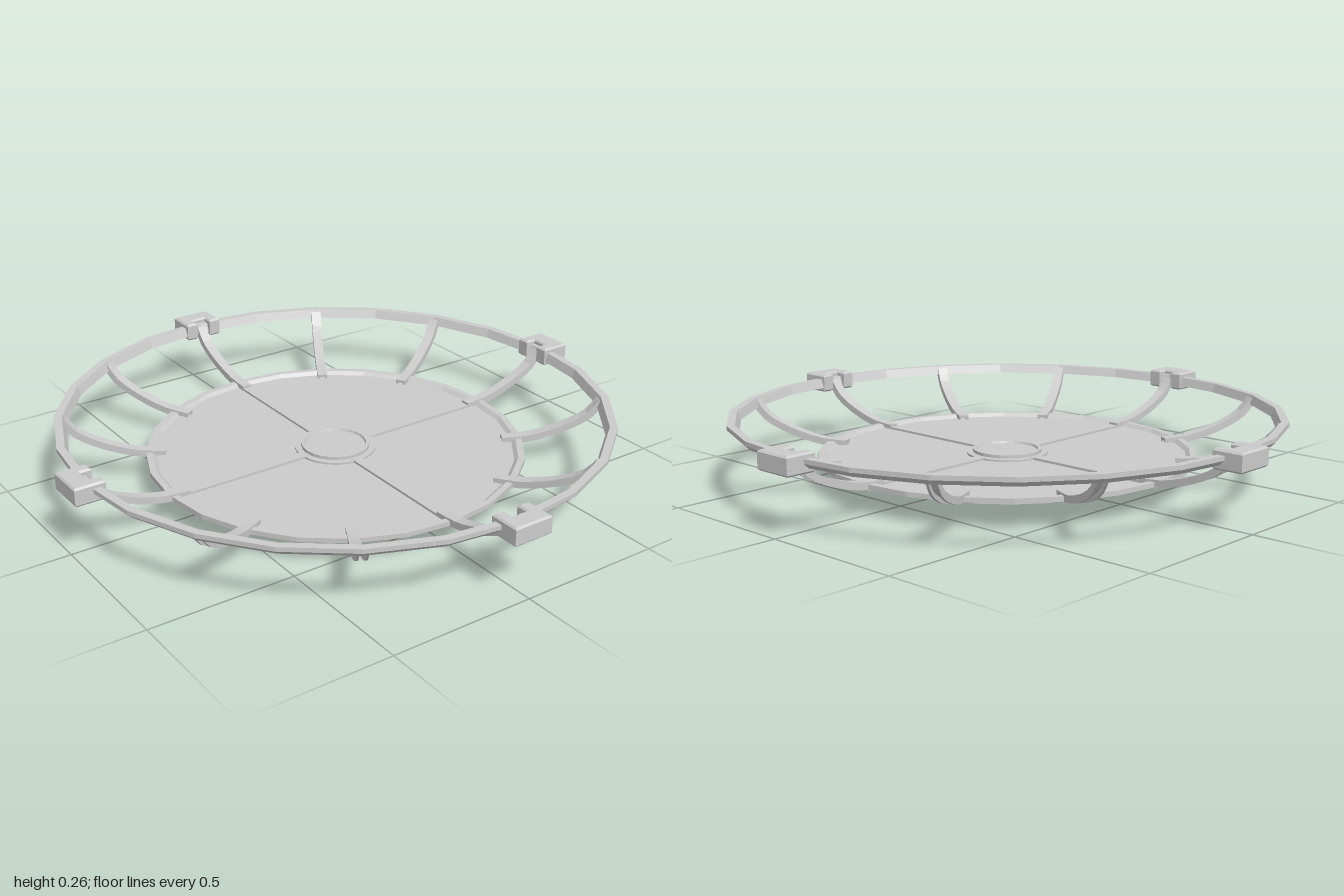
import * as THREE from 'three';

const grey = new THREE.MeshStandardMaterial({ color: 0xcccccc, flatShading: true });

function add(parent, geometry, name) {
  const mesh = new THREE.Mesh(geometry, grey);
  mesh.name = name;
  parent.add(mesh);
  return mesh;
}

// Turned part with 24 flat sides; the profile runs from the bottom up the outside
function turned(points) {
  return new THREE.LatheGeometry(points.map(([r, y]) => new THREE.Vector2(r, y)), 24);
}

function build(positions, indices) {
  let g = new THREE.BufferGeometry();
  g.setAttribute('position', new THREE.Float32BufferAttribute(positions, 3));
  g.setIndex(indices);
  g = g.toNonIndexed();
  g.computeVertexNormals();
  return g;
}

// Curved spoke with a channel section that is open underneath
function spokeGeometry() {
  const curve = new THREE.SplineCurve([
    [0.58, 0.094], [0.67, 0.1], [0.75, 0.12], [0.82, 0.146], [0.88, 0.18], [0.92, 0.228],
  ].map(([x, y]) => new THREE.Vector2(x, y)));
  const w = 0.018, v = 0.01, h = 0.012, k = 0.002;
  const section = [[-w, -h], [-v, -h], [-v, k], [v, k], [v, -h], [w, -h], [w, h], [-w, h]];
  const steps = 10, n = section.length, pos = [], idx = [];
  for (let i = 0; i <= steps; i++) {
    const p = curve.getPoint(i / steps), t = curve.getTangent(i / steps);
    for (const [s, up] of section) pos.push(p.x - t.y * up, p.y + t.x * up, s);
  }
  for (let i = 0; i < steps; i++) {
    for (let j = 0; j < n; j++) {
      const a = i * n + j, b = i * n + (j + 1) % n;
      idx.push(a, a + n, b, b, a + n, b + n);
    }
  }
  // End caps: two legs and the web
  const e = steps * n;
  for (const [a, b, c, d] of [[0, 1, 2, 7], [3, 4, 5, 6], [2, 3, 6, 7]]) {
    idx.push(a, b, c, a, c, d, e + a, e + c, e + b, e + a, e + d, e + c);
  }
  return build(pos, idx);
}

// Shallow underside bowl with twelve radial grooves and an open centre
function bowlGeometry() {
  const inner = 0.12, outer = 0.535, top = 0.076, groove = 0.022, half = 0.016;
  const rings = [[inner, top]];
  for (let i = 0; i <= 8; i++) {
    rings.push([inner + (outer - inner) * i / 8, 0.052 * Math.pow(i / 8, 1.5)]);
  }
  rings.push([outer, top]);
  const pos = [], idx = [], n = 60;
  rings.forEach(([r, y]) => {
    const d = Math.asin(half / r), step = Math.PI / 6;
    const floor = Math.min(y + groove, top);
    for (let s = 0; s < 12; s++) {
      const a = s * step;
      for (const [angle, h] of [[a - d, floor], [a + d, floor], [a + d, y], [a + step / 2, y], [a + step - d, y]]) {
        pos.push(r * Math.sin(angle), h, r * Math.cos(angle));
      }
    }
  });
  for (let i = 0; i < rings.length - 1; i++) {
    for (let j = 0; j < n; j++) {
      const a = i * n + j, b = i * n + (j + 1) % n;
      idx.push(a, b, a + n, b, b + n, a + n);
    }
  }
  return build(pos, idx);
}

// Rim clip: a bevelled block with a notch on its inner side
function clipGeometry() {
  const b = 0.006, x0 = 0.895 + b, x1 = 1 - b, z = 0.07 - b;
  const shape = new THREE.Shape([
    [x0, -z], [x1, -z], [x1, z], [x0, z], [x0, 0.033], [0.94, 0.033], [0.94, -0.033], [x0, -0.033],
  ].map(([x, y]) => new THREE.Vector2(x, y)));
  const g = new THREE.ExtrudeGeometry(shape, {
    depth: 0.064 - 2 * b, bevelEnabled: true, bevelSize: b, bevelThickness: b, bevelSegments: 1,
  });
  return g.rotateX(-Math.PI / 2).translate(0, 0.196 + b, 0);
}

export function createModel() {
  const model = new THREE.Group();
  model.name = 'spokedTray';

  // Outer rim, leaning slightly inward at the bottom
  add(model, turned([[0.908, 0.212], [0.93, 0.212], [0.947, 0.228], [0.947, 0.243],
    [0.92, 0.243], [0.908, 0.212]]), 'rim');

  // Round plate with a low lip, and its grooved underside
  add(model, turned([[0, 0.074], [0.54, 0.074], [0.61, 0.078], [0.65, 0.086], [0.65, 0.102],
    [0.628, 0.102], [0.615, 0.09], [0, 0.09]]), 'plate');
  add(model, bowlGeometry(), 'groovedBowl');

  // Hub with a raised collar
  add(model, turned([[0.14, 0.085], [0.14, 0.097], [0.118, 0.097], [0.118, 0.108],
    [0.106, 0.108], [0.103, 0.1], [0, 0.1]]), 'hub');

  // Twelve spokes around the plate
  const spoke = spokeGeometry();
  for (let i = 0; i < 12; i++) {
    add(model, spoke, 'spoke').rotation.y = i * Math.PI / 6;
  }

  // Four clips on the rim, each in line with a bar across the plate
  const clip = clipGeometry();
  const bar = new THREE.BoxGeometry(0.53, 0.016, 0.036).translate(0.385, 0.09, 0);
  for (let i = 0; i < 4; i++) {
    const arm = new THREE.Group();
    arm.name = 'arm';
    arm.rotation.y = i * Math.PI / 2;
    add(arm, clip, 'rimClip');
    add(arm, bar, 'crossBar');
    model.add(arm);
  }
  return model;
}
